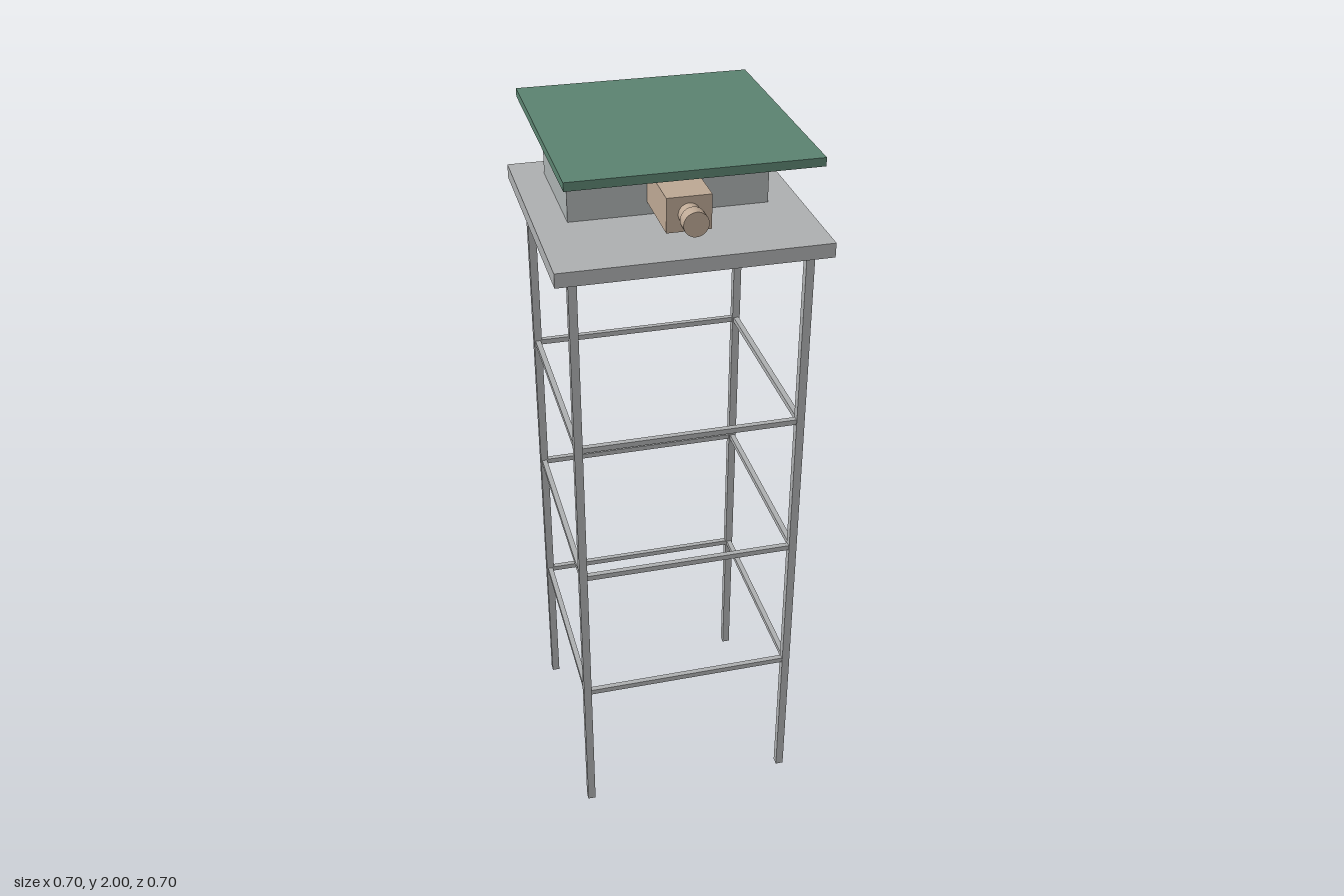
import * as THREE from 'three';

const mat = (name, color) => {
  const m = new THREE.MeshStandardMaterial({ color });
  m.name = name;
  return m;
};

export function createModel() {
  const tower = new THREE.Group();
  tower.name = 'watchtower';

  const steel = mat('steelGrey', 0xafb1b2);
  const wall = mat('wallGrey', 0xadb2b2);
  const green = mat('roofGreen', 0x5c8471);
  const tan = mat('lampTan', 0xbea995);

  // Box given by its size and its centre
  const box = (name, material, [w, h, d], [x, y, z], parent = tower) => {
    const mesh = new THREE.Mesh(new THREE.BoxGeometry(w, h, d), material);
    mesh.name = name;
    mesh.position.set(x, y, z);
    parent.add(mesh);
    return mesh;
  };

  const deckBottom = 1.747, deckTop = 1.785, legAt = 0.299, legSize = 0.022;

  // Four square legs
  for (const x of [-legAt, legAt])
    for (const z of [-legAt, legAt])
      box('leg', steel, [legSize, deckBottom, legSize], [x, deckBottom / 2, z]);

  // Three rings of horizontal braces between the legs
  const span = 2 * legAt - legSize, bar = 0.015;
  for (const y of [0.426, 0.842, 1.257]) {
    const ring = new THREE.Group();
    ring.name = 'braceRing';
    for (const s of [-legAt, legAt]) {
      box('braceAcross', steel, [span, bar, bar], [0, y, s], ring);
      box('braceAlong', steel, [bar, bar, span], [s, y, 0], ring);
    }
    tower.add(ring);
  }

  // Deck, cabin and roof
  box('deck', steel, [0.696, deckTop - deckBottom, 0.696], [0, (deckBottom + deckTop) / 2, 0]);
  box('cabin', wall, [0.524, 0.195, 0.33], [0, deckTop + 0.0975, -0.096]);
  box('roof', green, [0.63, 0.022, 0.662], [0, 1.989, 0]);

  // Boxy mount on the cabin front with a stepped barrel
  const mountY = 1.863;
  box('mount', tan, [0.114, 0.09, 0.198], [0, mountY, 0.165]);
  const barrel = (name, radius, z0, z1) => {
    const mesh = new THREE.Mesh(new THREE.CylinderGeometry(radius, radius, z1 - z0, 24), tan);
    mesh.name = name;
    mesh.rotation.x = Math.PI / 2;
    mesh.position.set(0, mountY, (z0 + z1) / 2);
    tower.add(mesh);
  };
  barrel('barrel', 0.028, 0.262, 0.3);
  barrel('barrelRim', 0.032, 0.296, 0.33);

  return tower;
}
